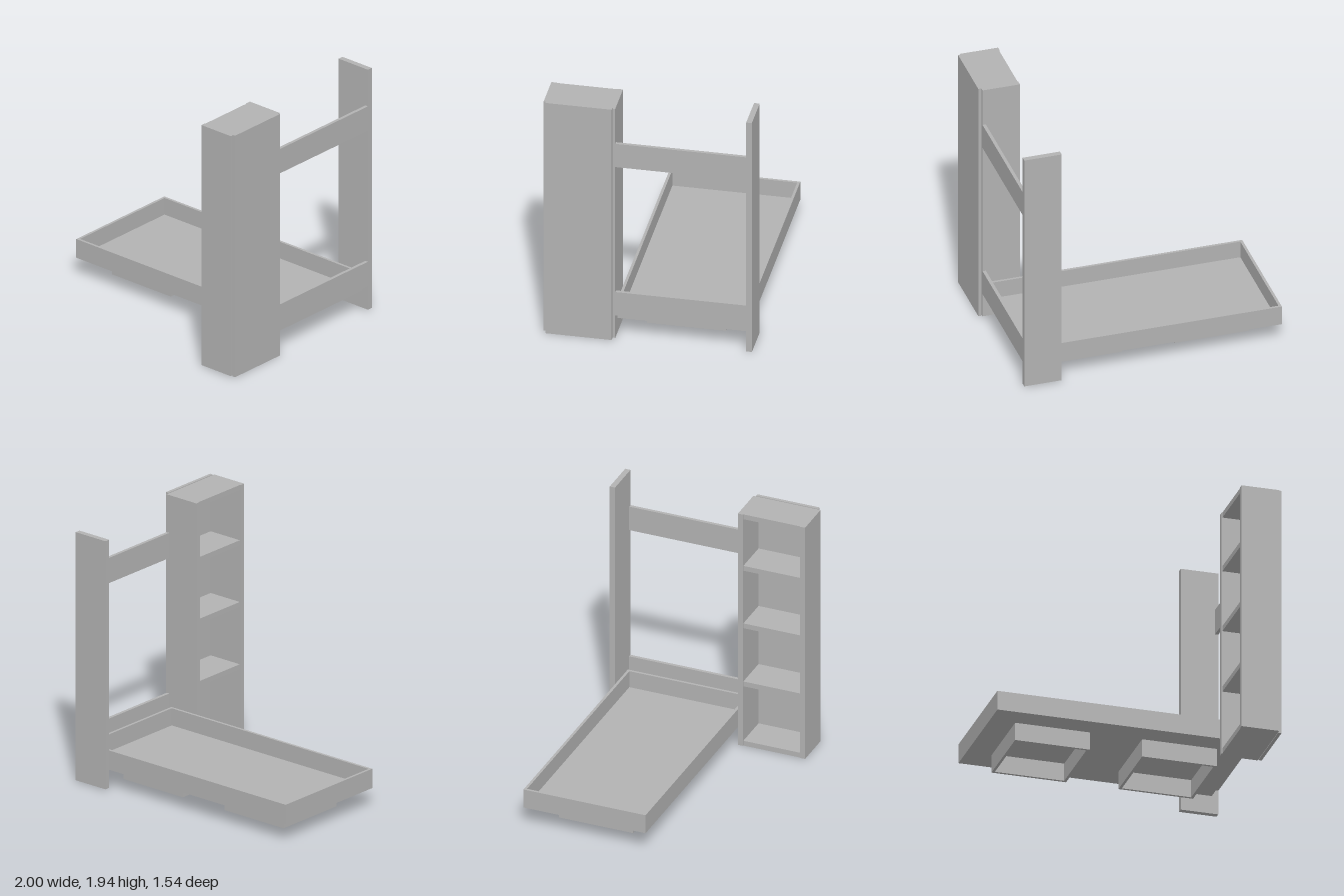
import * as THREE from 'three';

export function createModel() {
  const model = new THREE.Group();
  model.name = 'bedWithShelfUnit';
  const grey = new THREE.MeshStandardMaterial({ color: 0xb2b2b2 });
  grey.name = 'plain grey';

  const group = (name) => {
    const g = new THREE.Group();
    g.name = name;
    model.add(g);
    return g;
  };

  // A board given by its limits along each axis
  const board = (parent, name, [x0, x1], [y0, y1], [z0, z1]) => {
    const mesh = new THREE.Mesh(new THREE.BoxGeometry(x1 - x0, y1 - y0, z1 - z0), grey);
    mesh.position.set((x0 + x1) / 2, (y0 + y1) / 2, (z0 + z1) / 2);
    mesh.name = name;
    parent.add(mesh);
  };

  // Four upright boards around a rectangle
  const frame = (parent, name, [x0, x1], y, [z0, z1], t) => {
    board(parent, name + 'Front', [x0, x1], y, [z1 - t, z1]);
    board(parent, name + 'Back', [x0, x1], y, [z0, z0 + t]);
    board(parent, name + 'Left', [x1 - t, x1], y, [z0 + t, z1 - t]);
    board(parent, name + 'Right', [x0, x0 + t], y, [z0 + t, z1 - t]);
  };

  // Bed tray: floor and raised rim
  const bed = group('bedTray');
  board(bed, 'trayFloor', [-0.98, 0.905], [0.15, 0.167], [-0.71, 0.215]);
  frame(bed, 'trayRim', [-1, 0.925], [0.15, 0.3], [-0.73, 0.235], 0.02);

  // Two open plinths under the tray
  const plinths = group('plinths');
  for (const x of [-0.81, 0.155]) {
    frame(plinths, 'plinth', [x, x + 0.567], [0.012, 0.15], [-0.532, 0.055], 0.02);
  }

  // Shelf unit, open towards the bed
  const unit = group('shelfUnit');
  board(unit, 'unitSideBack', [0.69, 0.975], [0.01, 1.94], [0.24, 0.281]);
  board(unit, 'unitSideFront', [0.69, 0.975], [0.01, 1.94], [0.73, 0.771]);
  board(unit, 'unitBackPanel', [0.975, 1], [0.003, 1.945], [0.262, 0.753]);
  for (const top of [0.05, 0.545, 1.03, 1.51, 1.94]) {
    board(unit, 'shelf', [0.695, 0.975], [top - 0.04, top], [0.281, 0.73]);
  }

  // Upright post and the two rails joining it to the shelf unit
  const head = group('headFrame');
  board(head, 'post', [0.69, 0.975], [0.01, 1.94], [-0.773, -0.731]);
  for (const y of [0.2, 1.45]) {
    board(head, 'rail', [0.95, 0.975], [y, y + 0.196], [-0.731, 0.24]);
  }

  return model;
}
